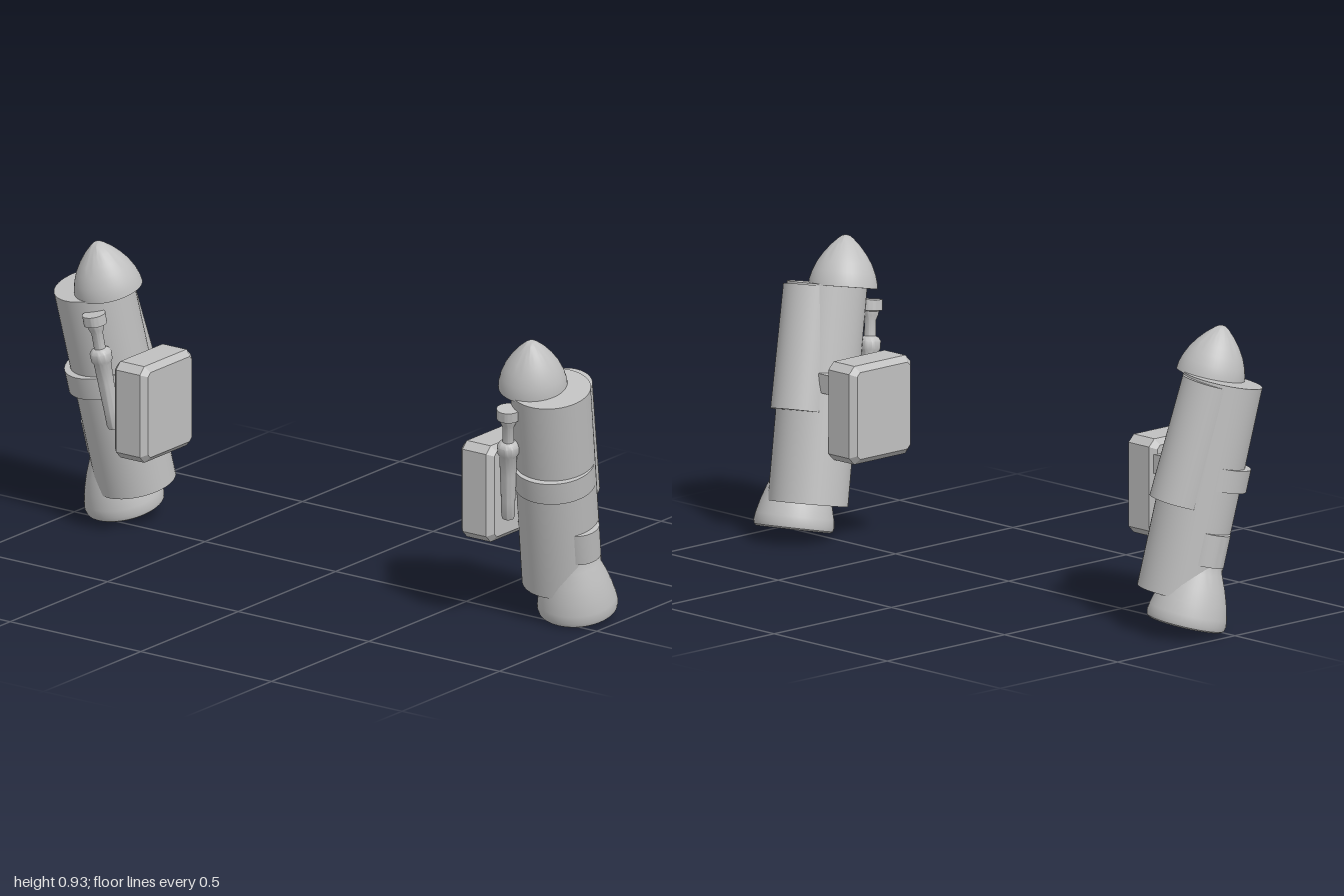
import * as THREE from 'three';
import { toCreasedNormals } from 'three/addons/utils/BufferGeometryUtils.js';

const UP = new THREE.Vector3(0, 1, 0);

// Closed turned solid from [radius, height] pairs, with crisp edges kept
function turned(profile, segments = 48) {
  const last = profile[profile.length - 1];
  const pts = [[0, profile[0][1]], ...profile, [0, last[1]]].map(([r, h]) => new THREE.Vector2(r, h));
  return toCreasedNormals(new THREE.LatheGeometry(pts, segments), 0.6);
}

// Chamfered block: an octagonal side outline extruded across with a bevel
function chamferedBlock(width, height, depth, cut, bevel) {
  const a = depth / 2 - bevel, b = height / 2 - bevel;
  const shape = new THREE.Shape([
    [a - cut, -b], [a, cut - b], [a, b - cut], [a - cut, b],
    [cut - a, b], [-a, b - cut], [-a, cut - b], [cut - a, -b],
  ].map(([x, y]) => new THREE.Vector2(x, y)));
  const geo = new THREE.ExtrudeGeometry(shape, {
    depth: width - 2 * bevel, bevelEnabled: true, bevelSegments: 1, bevelSize: bevel, bevelThickness: bevel,
  });
  geo.translate(0, 0, bevel - width / 2);
  return geo.rotateY(Math.PI / 2);
}

export function createModel() {
  const model = new THREE.Group();
  model.name = 'boosterPair';
  const grey = new THREE.MeshStandardMaterial({ color: 0xc0c0c0 });
  grey.name = 'lightGrey';

  for (const side of [1, -1]) {
    const booster = new THREE.Group();
    booster.name = side > 0 ? 'leftBooster' : 'rightBooster';
    model.add(booster);

    const add = (name, geo, pos) => {
      const mesh = new THREE.Mesh(geo, grey);
      mesh.name = name;
      mesh.position.set(side * pos[0], pos[1], pos[2]);
      booster.add(mesh);
      return mesh;
    };
    // Stand a turned solid on a point and lean it along a direction
    const lean = (name, profile, base, dir) => {
      const d = new THREE.Vector3(side * dir[0], dir[1], dir[2]).normalize();
      add(name, turned(profile), base).quaternion.setFromUnitVectors(UP, d);
    };
    const tube = (r, h) => [[r, 0], [r, h]];
    const axis = [0.06, 0.66, 0.14];

    // Main body, its raised band and the shorter tube behind it
    lean('mainTube', tube(0.124, 0.677), [0.815, 0.12, -0.07], axis);
    lean('bodyBand', tube(0.124, 0.072), [0.855, 0.455, 0.02], axis);
    lean('rearTube', tube(0.09, 0.386), [0.836, 0.41, -0.085], [0.045, 0.37, 0.098]);

    // Nose cone
    lean('noseCone', [
      [0.107, 0], [0.105, 0.02], [0.098, 0.045], [0.085, 0.075], [0.067, 0.103],
      [0.045, 0.13], [0.022, 0.152], [0.012, 0.159], [0.005, 0.161],
    ], [0.812, 0.779, 0.076], [0.02, 0.155, 0.034]);

    // Exhaust bell and the round lug above it
    lean('exhaustBell', [
      [0.115, 0], [0.122, 0.005], [0.125, 0.018], [0.122, 0.04], [0.112, 0.08],
      [0.097, 0.125], [0.078, 0.17], [0.066, 0.2], [0.06, 0.25],
    ], [0.866, 0.032, -0.083], [0.015, 0.175, 0.042]);
    lean('sideLug', tube(0.066, 0.102), [0.902, 0.222, -0.043], axis);

    // Inner equipment box and its bracket
    add('equipmentBox', chamferedBlock(0.127, 0.31, 0.262, 0.012, 0.018), [0.663, 0.43, 0.046]);
    add('boxBracket', new THREE.BoxGeometry(0.12, 0.06, 0.05), [0.755, 0.51, -0.05]);

    // Piston at the front
    lean('piston', [
      [0.018, 0], [0.021, 0.01], [0.022, 0.06], [0.025, 0.15], [0.027, 0.215], [0.033, 0.225],
      [0.034, 0.25], [0.028, 0.26], [0.018, 0.265], [0.018, 0.315], [0.024, 0.33],
      [0.026, 0.342], [0.036, 0.345], [0.036, 0.378],
    ], [0.754, 0.355, 0.126], [0.038, 0.36, 0.05]);
  }
  return model;
}
